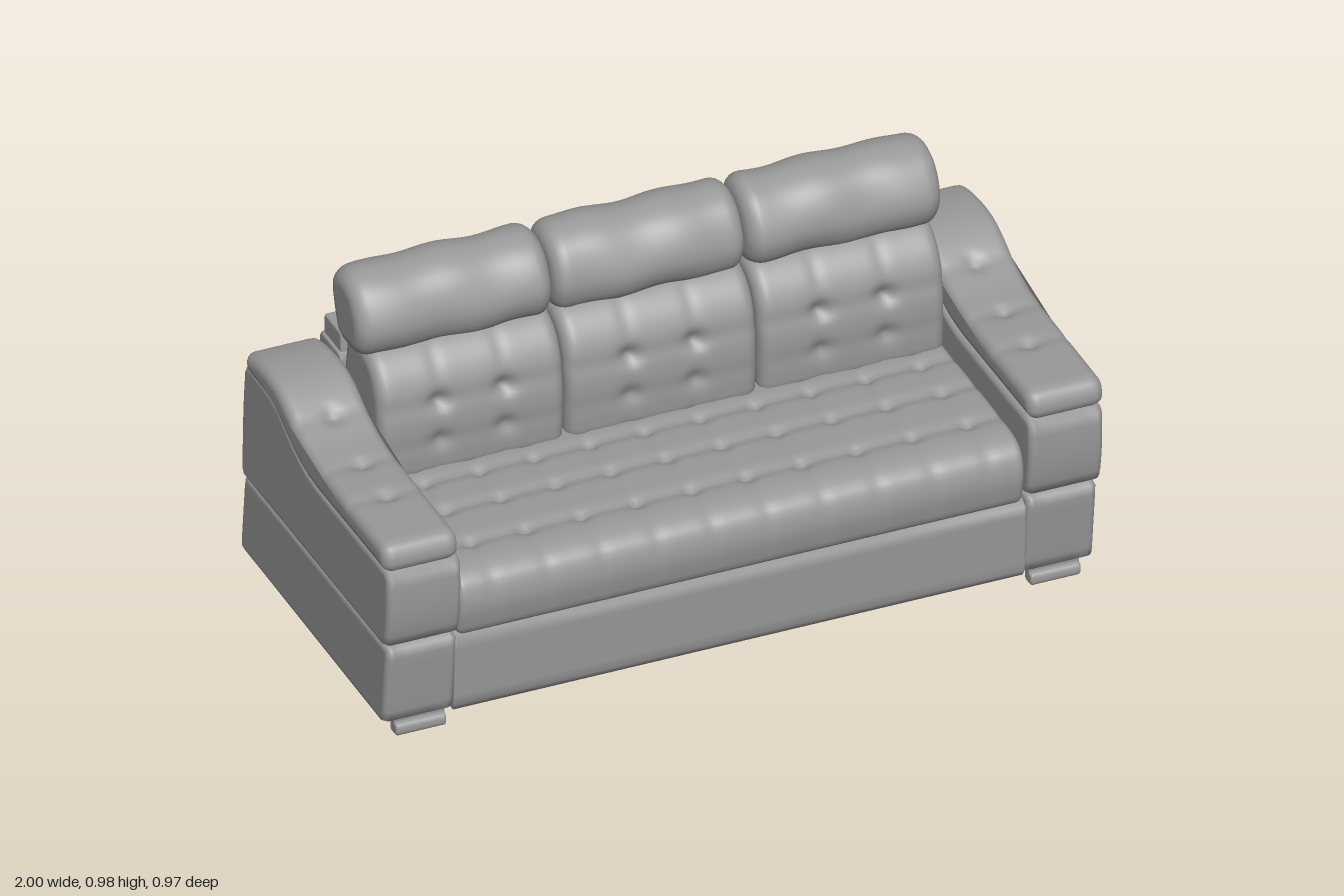
import * as THREE from 'three';

const leather = new THREE.MeshStandardMaterial({ color: 0x999999 });
leather.name = 'grey leather';

const bump = (d, w) => Math.exp(-((d / w) ** 2));

// Closed side outline from corners [z, y, radius], as evenly spaced points
function outline(corners, count) {
  const shape = new THREE.Shape();
  const n = corners.length;
  corners.forEach(([z, y, r], i) => {
    const p = new THREE.Vector2(z, y);
    const toward = ([a, b]) => {
      const d = new THREE.Vector2(a - z, b - y);
      return p.clone().addScaledVector(d.clone().normalize(), Math.min(r, d.length() * 0.49));
    };
    const a = toward(corners[(i + n - 1) % n]);
    const b = toward(corners[(i + 1) % n]);
    if (i === 0) shape.moveTo(a.x, a.y);
    else shape.lineTo(a.x, a.y);
    shape.quadraticCurveTo(z, y, b.x, b.y);
  });
  shape.closePath();
  const pts = shape.getSpacedPoints(count);
  pts.pop();
  return THREE.ShapeUtils.isClockWise(pts) ? pts.reverse() : pts;
}

// Side outline carried from x0 to x1, with rounded ends and optional dents
function upholster(name, corners, x0, x1, round, { count = 80, steps = 4, dent = null } = {}) {
  const pts = outline(corners, count);
  const n = pts.length;
  const normals = pts.map((p, j) => {
    const t = pts[(j + 1) % n].clone().sub(pts[(j + n - 1) % n]).normalize();
    return new THREE.Vector2(t.y, -t.x);
  });

  // x position and inset of each ring
  const rings = [];
  const k = 6;
  for (let i = 0; i <= k; i++) {
    const a = (i / k) * Math.PI / 2;
    rings.push([x0 + round * (1 - Math.cos(a)), round * (1 - Math.sin(a))]);
  }
  for (let i = 1; i < steps; i++) rings.push([x0 + round + (x1 - x0 - 2 * round) * i / steps, 0]);
  for (let i = k; i >= 0; i--) {
    const a = (i / k) * Math.PI / 2;
    rings.push([x1 - round * (1 - Math.cos(a)), round * (1 - Math.sin(a))]);
  }

  const position = [];
  const index = [];
  rings.forEach(([x, inset], i) => {
    pts.forEach((p, j) => {
      const m = normals[j];
      const d = inset + (dent ? dent(x, p.y, p.x, m) * (1 - inset / round) : 0);
      position.push(x, p.y - m.y * d, p.x - m.x * d);
      if (i < rings.length - 1) {
        const a = i * n + j;
        const b = i * n + (j + 1) % n;
        index.push(a, a + n, b, b, a + n, b + n);
      }
    });
  });
  // flat ends
  const last = (rings.length - 1) * n;
  for (const [a, b, c] of THREE.ShapeUtils.triangulateShape(pts, [])) {
    index.push(a, b, c, last + a, last + c, last + b);
  }

  const geometry = new THREE.BufferGeometry();
  geometry.setAttribute('position', new THREE.Float32BufferAttribute(position, 3));
  geometry.setIndex(index);
  geometry.computeVertexNormals();
  const mesh = new THREE.Mesh(geometry, leather);
  mesh.name = name;
  return mesh;
}

function createArm(side) {
  const arm = new THREE.Group();
  arm.name = side > 0 ? 'leftArm' : 'rightArm';
  const part = (name, corners, a, b, round, options) =>
    arm.add(upholster(name, corners, Math.min(a * side, b * side), Math.max(a * side, b * side), round, options));

  part('armLowerPanel', [
    [0.437, 0.04, 0.025], [0.465, 0.288, 0.025], [-0.455, 0.28, 0.025], [-0.482, 0.04, 0.025],
  ], 0.79, 0.985, 0.018);

  part('armUpperPanel', [
    [0.468, 0.29, 0.03], [0.488, 0.4, 0.06], [0.485, 0.53, 0.03], [0.0, 0.525, 0.08],
    [-0.1, 0.55, 0.06], [-0.24, 0.63, 0.06], [-0.435, 0.635, 0.03], [-0.45, 0.5, 0.06], [-0.458, 0.28, 0.025],
  ], 0.787, 0.993, 0.018);

  // Padded top with pinched buttons
  part('armPad', [
    [0.482, 0.525, 0.03], [0.475, 0.602, 0.04], [0.25, 0.602, 0.05], [0.02, 0.604, 0.08], [-0.09, 0.632, 0.07],
    [-0.2, 0.692, 0.07], [-0.32, 0.696, 0.06], [-0.425, 0.672, 0.035], [-0.415, 0.615, 0.03],
    [-0.25, 0.615, 0.06], [-0.1, 0.54, 0.06], [0.0, 0.518, 0.08],
  ], 0.79, 1.0, 0.03, {
    count: 130, steps: 14,
    dent: (x, y, z, m) => m.y < 0.3 ? 0 : [0.24, 0.08, -0.1].reduce((s, c) =>
      s + 0.016 * bump(z - c, 0.022) * bump(Math.abs(x) - 0.89, 0.025) + 0.005 * bump(z - c, 0.018), 0),
  });

  // Feet: small rolls under a mounting plate
  for (const [z, inner] of [[0.418, -0.025], [-0.462, 0.03]]) {
    part('foot', [
      [z - 0.023, 0.0, 0.016], [z + 0.023, 0.0, 0.016], [z + 0.023, 0.037, 0.016], [z - 0.023, 0.037, 0.016],
    ], 0.81, 0.95, 0.008, { count: 32 });
    const plate = new THREE.Mesh(new THREE.BoxGeometry(0.14, 0.014, 0.06), leather);
    plate.name = 'footPlate';
    plate.position.set(0.88 * side, 0.036, z + inner);
    arm.add(plate);
  }
  return arm;
}

export function createModel() {
  const sofa = new THREE.Group();
  sofa.name = 'sofa';

  sofa.add(upholster('base', [
    [0.445, 0.04, 0.012], [0.452, 0.27, 0.012], [-0.448, 0.27, 0.012], [-0.455, 0.04, 0.012],
  ], -0.793, 0.793, 0.006));

  sofa.add(upholster('backPanel', [
    [-0.28, 0.262, 0.01], [-0.28, 0.69, 0.01], [-0.41, 0.69, 0.012], [-0.448, 0.262, 0.012],
  ], -0.793, 0.793, 0.006));

  sofa.add(upholster('backRail', [
    [-0.29, 0.66, 0.008], [-0.295, 0.745, 0.008], [-0.4, 0.745, 0.008], [-0.405, 0.66, 0.008],
  ], -0.785, 0.785, 0.006));

  // Seat quilted in a grid with buttons at the crossings
  const rows = [0.31, 0.15, 0.01];
  sofa.add(upholster('seat', [
    [0.45, 0.268, 0.02], [0.472, 0.37, 0.08], [0.44, 0.452, 0.08],
    [0.2, 0.455, 0.1], [-0.2, 0.45, 0.03], [-0.2, 0.268, 0.02],
  ], -0.785, 0.785, 0.02, {
    count: 110, steps: 130,
    dent: (x, y, z, m) => {
      const column = bump(((x / 0.153 + 100) % 1 - 0.5) * 0.153, 0.02);
      if (m.y < 0.3) return m.x > 0.3 ? 0.003 * column * Math.max(0, (y - 0.28) / 0.1) : 0;
      const row = rows.reduce((s, r) => s + bump(z - r, 0.018), 0);
      return 0.004 * column + 0.008 * row + 0.012 * row * column;
    },
  }));

  // Three back cushions, each with a headrest
  for (const [i, x0, x1] of [[-1, -0.785, -0.27], [0, -0.265, 0.265], [1, 0.27, 0.785]]) {
    const middle = (x0 + x1) / 2;
    sofa.add(upholster('backCushion', [
      [-0.04, 0.43, 0.03], [-0.03, 0.58, 0.1], [-0.05, 0.715, 0.08], [-0.125, 0.79, 0.05],
      [-0.27, 0.785, 0.04], [-0.3, 0.6, 0.06], [-0.25, 0.43, 0.03],
    ], x0, x1, 0.035, {
      count: 100, steps: 40,
      dent: (x, y, z, m) => {
        if (m.x < 0.2) return 0;
        const seam = bump(Math.abs(x - middle) - 0.09, 0.018);
        const pinch = bump(y - 0.645, 0.025) + 0.6 * bump(y - 0.53, 0.025);
        return 0.004 * seam + 0.022 * pinch * bump(Math.abs(x - middle) - 0.09, 0.03) + 0.004 * pinch;
      },
    }));
    sofa.add(upholster('headrest', [
      [-0.095, 0.86, 0.06], [-0.115, 0.785, 0.05], [-0.16, 0.755, 0.04], [-0.265, 0.757, 0.05],
      [-0.3, 0.83, 0.06], [-0.325, 0.92, 0.05], [-0.285, 0.968, 0.05], [-0.215, 0.982, 0.05], [-0.14, 0.95, 0.06],
    ], i < 0 ? -0.813 : x0, i > 0 ? 0.81 : x1, 0.045, {
      count: 72, steps: 24,
      dent: (x, y) => 0.003 * Math.sin(x * 31 + y * 9) + 0.002 * Math.sin(x * 17 - y * 24),
    }));
  }

  sofa.add(createArm(1), createArm(-1));
  return sofa;
}
